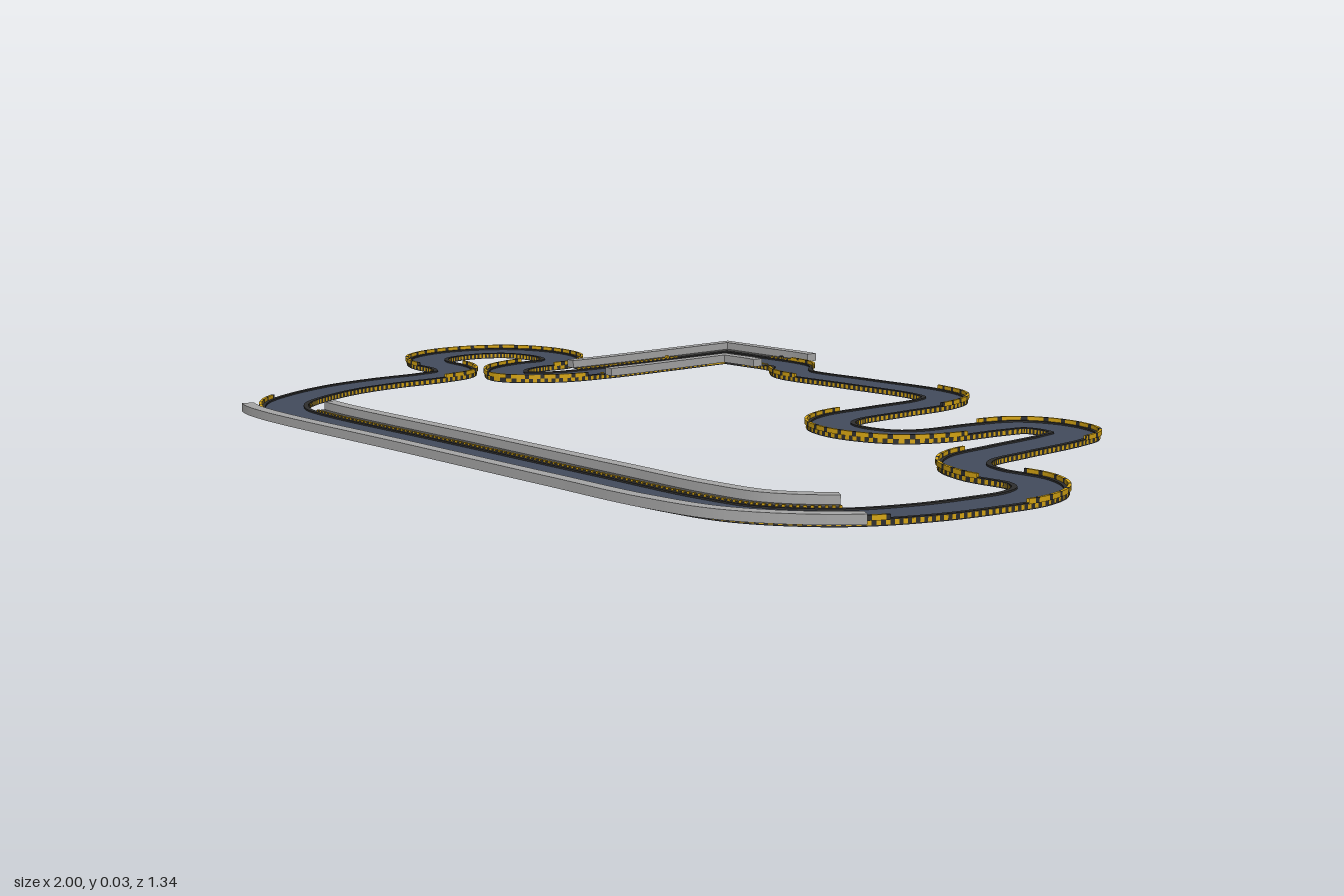
import * as THREE from 'three';

const material = (name, color) => {
  const m = new THREE.MeshStandardMaterial({ color, side: THREE.DoubleSide });
  m.name = name;
  return m;
};

// Centreline (x, z), starting and ending at the one sharp corner
const route = [
  [-0.52, -0.583], [-0.52, -0.5], [-0.52, -0.4], [-0.525, -0.21], [-0.545, -0.115], [-0.607, -0.052],
  [-0.673, -0.093], [-0.697, -0.168], [-0.695, -0.235], [-0.73, -0.284], [-0.81, -0.302], [-0.895, -0.277],
  [-0.94, -0.215], [-0.948, -0.13], [-0.92, -0.065], [-0.868, -0.034], [-0.772, -0.018], [-0.722, 0.014],
  [-0.708, 0.083], [-0.71, 0.2], [-0.697, 0.307], [-0.655, 0.42], [-0.6, 0.504], [-0.527, 0.551],
  [-0.45, 0.567], [0, 0.575], [0.4, 0.582], [0.62, 0.583], [0.75, 0.56], [0.86, 0.475],
  [0.917, 0.36], [0.943, 0.243], [0.95, 0.163], [0.928, 0.099], [0.875, 0.063], [0.78, 0.061],
  [0.714, 0.033], [0.677, -0.025], [0.666, -0.13], [0.655, -0.29], [0.638, -0.35], [0.575, -0.37],
  [0.516, -0.35], [0.493, -0.28], [0.473, -0.158], [0.435, -0.1], [0.35, -0.075], [0.275, -0.1],
  [0.238, -0.163], [0.233, -0.29], [0.232, -0.425], [0.205, -0.49], [0.137, -0.516], [-0.05, -0.514],
  [-0.225, -0.511], [-0.27, -0.537], [-0.302, -0.572], [-0.355, -0.583], [-0.43, -0.583], [-0.52, -0.583],
];
const SAMPLES = 1000;

// Evenly spaced stations, thinned beside the corner so its mitre stays clean
function makeStations() {
  const curve = new THREE.CatmullRomCurve3(route.map(([x, z]) => new THREE.Vector3(x, 0, z)), false, 'centripetal');
  curve.arcLengthDivisions = 4000;
  const all = curve.getSpacedPoints(SAMPLES);
  const pts = all.filter((p, i) => i === 0 || (i < SAMPLES && p.distanceTo(all[0]) > 0.1));
  const n = pts.length;
  return pts.map((p, i) => {
    const a = p.clone().sub(pts[(i + n - 1) % n]).normalize();
    const b = pts[(i + 1) % n].clone().sub(p).normalize();
    const t = a.clone().add(b).normalize();
    const mitre = 1 / Math.max(0.6, t.dot(b));
    return { p, nx: t.z * mitre, nz: -t.x * mitre, bend: a.z * b.x - a.x * b.z };
  });
}

export function createModel() {
  const group = new THREE.Group();
  const asphalt = material('slate road', 0x434c5d);
  const dark = material('dark edging', 0x2e2e2e);
  const yellow = material('yellow marking', 0xd6a513);
  const grey = material('grey barrier', 0xa6a6a6);
  const shoulderGrey = material('dark grey shoulder', 0x4e4e4d);

  const stations = makeStations();
  const n = stations.length;
  const at = (i) => stations[((i % n) + n) % n];
  const nearest = (x, z) => stations.reduce((best, s, i) =>
    Math.hypot(s.p.x - x, s.p.z - z) < Math.hypot(stations[best].p.x - x, stations[best].p.z - z) ? i : best, 0);

  // Sweeps a closed (offset, height) profile along the accepted stations; positive offsets lie inside the circuit
  function sweep(name, mat, profile, { from = 0, to = n, keep = () => true, capped = false } = {}) {
    const pos = [];
    const put = (s, [o, y]) => pos.push(s.p.x + s.nx * o, y, s.p.z + s.nz * o);
    for (let i = from; i < to; i++) {
      if (!keep(i % n)) continue;
      const s = at(i), e = at(i + 1);
      profile.forEach((a, k) => {
        const b = profile[(k + 1) % profile.length];
        put(s, a); put(e, a); put(e, b);
        put(s, a); put(e, b); put(s, b);
      });
    }
    // End caps of a four-cornered profile
    if (capped) {
      for (const k of [0, 1, 2, 0, 2, 3]) put(at(from), profile[k]);
      for (const k of [2, 1, 0, 3, 2, 0]) put(at(to), profile[k]);
    }
    const g = new THREE.BufferGeometry();
    g.setAttribute('position', new THREE.Float32BufferAttribute(pos, 3));
    g.computeVertexNormals();
    const mesh = new THREE.Mesh(g, mat);
    mesh.name = name;
    group.add(mesh);
  }

  // Rectangle on either side of the road, always wound the same way
  const box = (o0, o1, y0, y1) => [[o0, y0], [o0, y1], [o1, y1], [o1, y0]];
  const sideBox = (side, o0, o1, y0, y1) => (side > 0 ? box(o0, o1, y0, y1) : box(-o1, -o0, y0, y1));

  sweep('road', asphalt, box(-0.036, 0.036, 0, 0.008));

  // Smoothed bend marks the corners that carry raised kerbs
  const bend = stations.map((_, i) => {
    let sum = 0;
    for (let k = -6; k <= 6; k++) sum += at(i + k).bend;
    return sum / 13;
  });

  // Barrier runs: place, side, first and last station
  const cornerStart = nearest(-0.33, -0.58);
  const barriers = [
    ['corner', -1, cornerStart, n + nearest(-0.52, -0.195)],
    ['corner', 1, cornerStart, n + nearest(-0.52, -0.195)],
    ['straight', -1, nearest(-0.53, 0.55), nearest(0.872, 0.457)],
    ['straight', 1, nearest(-0.48, 0.562), nearest(0.865, 0.468)],
  ];

  for (const side of [-1, 1]) {
    const label = side > 0 ? 'inner' : 'outer';
    sweep(label + 'EdgeRail', dark, sideBox(side, 0.036, 0.045, 0, 0.011));
    sweep(label + 'EdgeDashes', yellow, sideBox(side, 0.0435, 0.046, 0.002, 0.0095), { keep: (i) => i % 2 === 0 });

    // Yellow kerbs with dark gaps on the outside of each bend
    const onBend = (i) => bend[i] * side < -0.019 && i > 5 && i < n - 5;
    const kerb = sideBox(side, 0.0425, 0.048, 0.0095, 0.018);
    sweep(label + 'KerbYellow', yellow, kerb, { keep: (i) => onBend(i) && i % 4 !== 0 });
    sweep(label + 'KerbDark', dark, kerb, { keep: (i) => onBend(i) && i % 4 === 0 });
  }

  // Block barriers with a dark shoulder and a row of yellow studs along their foot
  for (const [place, side, from, to] of barriers) {
    const label = place + (side > 0 ? 'Inner' : 'Outer');
    sweep(label + 'Studs', yellow, sideBox(side, 0.042, 0.0465, 0.0105, 0.0145),
      { from, to, keep: (i) => i % 2 === 0 && i > 0 && i < n - 1 });
    sweep(label + 'Shoulder', shoulderGrey, sideBox(side, 0.044, 0.061, 0.0105, 0.0125), { from, to, capped: true });
    sweep(label + 'Barrier', grey, sideBox(side, 0.061, 0.084, 0.0115, 0.0275), { from, to, capped: true });
  }
  return group;
}
